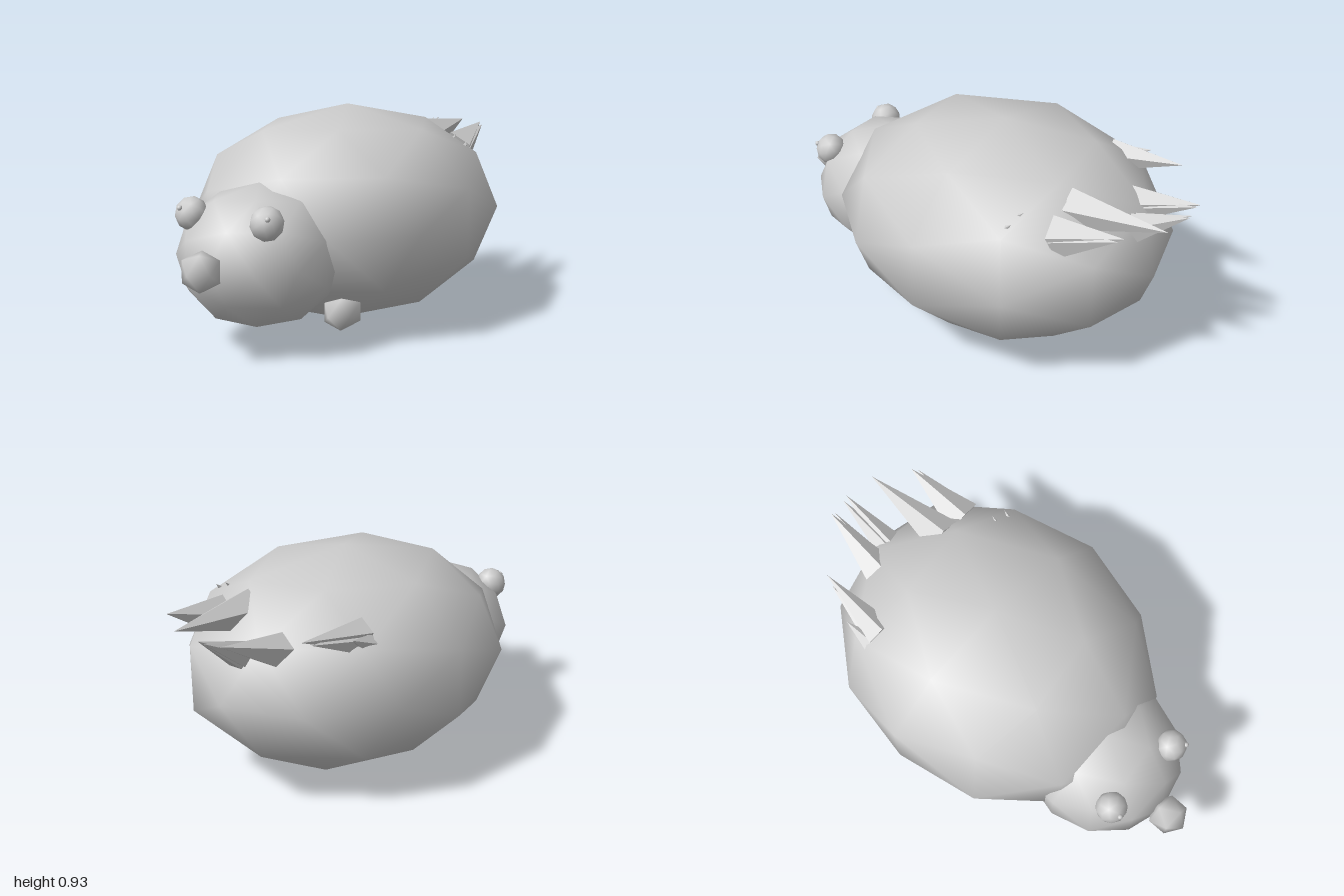
import * as THREE from 'three';

const grey = new THREE.MeshStandardMaterial({ color: 0xcccccc });
grey.name = 'pale grey';

// Low-poly ball with its pole along z, smooth normals, stretched to the given radii
function ball(name, detail, [rx, ry, rz], [x, y, z]) {
  const g = new THREE.IcosahedronGeometry(1, detail);
  g.rotateX(Math.atan((Math.sqrt(5) - 1) / 2));
  g.rotateZ(Math.PI / 2);
  g.setAttribute('normal', g.attributes.position.clone());
  g.scale(rx, ry, rz);
  const m = new THREE.Mesh(g, grey);
  m.name = name;
  m.position.set(x, y, z);
  return m;
}

// Faceted spike from a base centre hidden under the skin to its tip
function spike(base, tip, radius) {
  const a = new THREE.Vector3(...base), b = new THREE.Vector3(...tip);
  const dir = b.clone().sub(a);
  const g = new THREE.ConeGeometry(radius, dir.length(), 5).toNonIndexed();
  g.computeVertexNormals();
  const m = new THREE.Mesh(g, grey);
  m.name = 'spike';
  m.position.copy(a).add(b).multiplyScalar(0.5);
  m.quaternion.setFromUnitVectors(new THREE.Vector3(0, 1, 0), dir.normalize());
  return m;
}

export function createModel() {
  const model = new THREE.Group();
  model.name = 'spinyAnimal';

  // Body, head and nose
  model.add(ball('body', 1, [0.636, 0.465, 0.76], [0, 0.467, -0.11]));
  model.add(ball('head', 1, [0.34, 0.295, 0.34], [0, 0.38, 0.54]));
  model.add(ball('nose', 0, [0.086, 0.086, 0.086], [0, 0.385, 0.914]));

  // Paired eyes and feet
  for (const s of [-1, 1]) {
    const side = s > 0 ? 'left' : 'right';
    const eye = ball(side + 'Eye', 1, [0.068, 0.07, 0.066], [s * 0.185, 0.562, 0.74]);
    eye.rotation.set(-0.3, s * 0.4, 0);
    model.add(eye);
    model.add(ball(side + 'Foot', 0, [0.078, 0.076, 0.11], [s * 0.257, 0.129, 0.322]));
  }

  // Tiny pupils
  model.add(ball('rightPupil', 1, [0.011, 0.011, 0.011], [-0.197, 0.592, 0.797]));
  model.add(ball('leftPupil', 1, [0.011, 0.011, 0.011], [0.222, 0.59, 0.786]));

  // Back spikes: base centre, tip, radius
  const spikes = new THREE.Group();
  spikes.name = 'spikes';
  [
    [[-0.145, 0.67, -0.67], [-0.13, 0.785, -0.975], 0.08],
    [[-0.13, 0.66, -0.68], [-0.115, 0.78, -0.97], 0.06],
    [[-0.02, 0.63, -0.73], [-0.025, 0.785, -0.99], 0.07],
    [[-0.04, 0.63, -0.72], [-0.05, 0.78, -0.985], 0.06],
    [[0.14, 0.74, -0.56], [0.115, 0.785, -0.98], 0.09],
    [[0.275, 0.69, -0.59], [0.26, 0.79, -0.88], 0.09],
    [[0.29, 0.68, -0.6], [0.28, 0.78, -0.86], 0.07],
    [[-0.35, 0.72, -0.44], [-0.34, 0.79, -0.77], 0.07],
    [[-0.37, 0.7, -0.45], [-0.355, 0.77, -0.73], 0.06],
    [[-0.4, 0.69, -0.43], [-0.42, 0.755, -0.57], 0.05],
    [[0.345, 0.72, -0.4], [0.345, 0.785, -0.47], 0.025],
    [[0.405, 0.7, -0.4], [0.41, 0.76, -0.46], 0.025],
  ].forEach(([base, tip, r]) => spikes.add(spike(base, tip, r)));
  model.add(spikes);

  return model;
}
